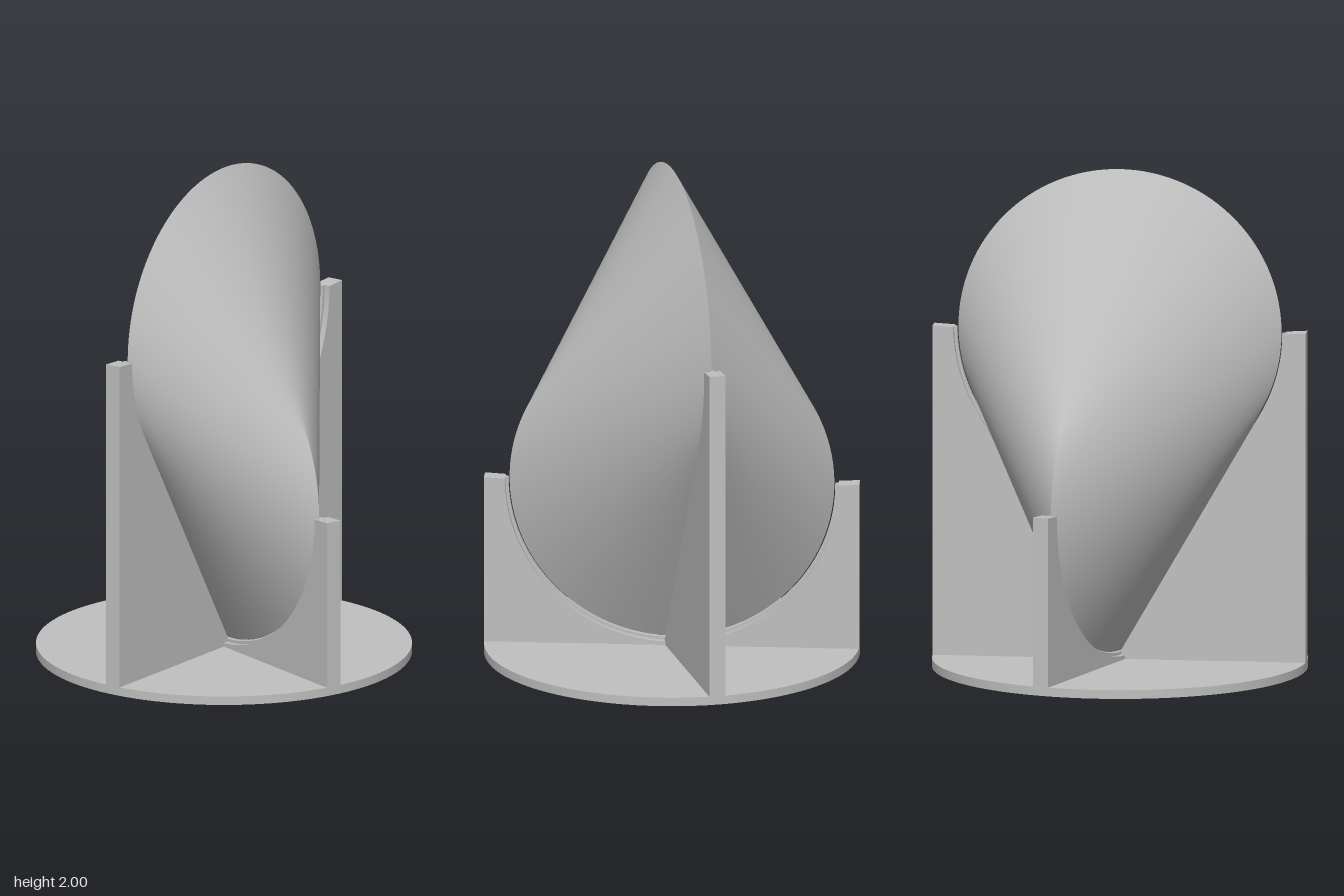
import * as THREE from 'three';

const R = 0.645;              // radius of both generating circles
const UPPER = 1.355;          // height of the upper circle's centre
const LOWER = UPPER - R;      // each circle passes through the other's centre
const BOTTOM = LOWER - R;
const TWIST = THREE.MathUtils.degToRad(72);
const BASE_R = 0.745, BASE_H = 0.035;

// Developable skin joining two circles in crossing planes, one strip per side
function skinStrip(side, segments = 128) {
  const pos = [], index = [];
  for (let i = 0; i <= segments; i++) {
    const t = (2 * Math.PI / 3) * Math.sin((i / segments - 0.5) * Math.PI);
    // matching tangents meet on the shared vertical axis
    const cu = THREE.MathUtils.clamp(Math.cos(t) / (1 + Math.cos(t)), -1, 1);
    const reach = side * R * Math.sqrt(1 - cu * cu);
    pos.push(R * Math.sin(t), UPPER + R * Math.cos(t), 0);
    pos.push(-reach * Math.cos(TWIST), LOWER + R * cu, reach * Math.sin(TWIST));
    if (i < segments) {
      const a = 2 * i, b = a + 1, c = a + 2, d = a + 3;
      if (side > 0) index.push(a, b, c, b, d, c);
      else index.push(a, c, b, b, c, d);
    }
  }
  const g = new THREE.BufferGeometry();
  g.setAttribute('position', new THREE.Float32BufferAttribute(pos, 3));
  g.setIndex(index);
  g.computeVertexNormals();
  return g;
}

// Points on an arc, angles in degrees clockwise from straight up
function arc(cy, radius, from, to, steps) {
  return Array.from({ length: steps + 1 }, (_, i) => {
    const t = THREE.MathUtils.degToRad(from + (to - from) * i / steps);
    return new THREE.Vector2(radius * Math.sin(t), cy + radius * Math.cos(t));
  });
}

// Upright plate with its cradle cut out of the top
function plateGeometry(top, groove, thickness) {
  const shape = new THREE.Shape([
    new THREE.Vector2(-BASE_R, BASE_H - 0.01),
    new THREE.Vector2(BASE_R, BASE_H - 0.01),
    new THREE.Vector2(BASE_R, top),
    ...groove,
    new THREE.Vector2(-BASE_R, top),
  ]);
  return new THREE.ExtrudeGeometry(shape, { depth: thickness, bevelEnabled: false });
}

export function createModel() {
  const model = new THREE.Group();
  const grey = new THREE.MeshStandardMaterial({ color: 0xc0c0c0 });
  grey.name = 'light grey';

  function add(parent, name, geometry) {
    const mesh = new THREE.Mesh(geometry, grey);
    mesh.name = name;
    parent.add(mesh);
    return mesh;
  }

  // Round base
  const base = add(model, 'base', new THREE.CylinderGeometry(BASE_R, BASE_R, BASE_H, 128));
  base.position.y = BASE_H / 2;

  // Rolling body
  const body = new THREE.Group();
  body.name = 'body';
  add(body, 'frontSkin', skinStrip(1));
  add(body, 'backSkin', skinStrip(-1));
  model.add(body);

  // Crossed cradle plates: a snug core between two looser cheeks
  const tallGroove = (gap) => [
    ...arc(UPPER, R + gap, 90, 120, 16),
    ...arc(BOTTOM, gap, 120, 240, 8),
    ...arc(UPPER, R + gap, 240, 270, 16),
  ];
  const lowGroove = (gap) => arc(LOWER, R + gap, 90, 270, 72);
  const layers = [
    ['backCheek', -0.033, 0.023, 0.016],
    ['core', -0.01, 0.02, 0.004],
    ['frontCheek', 0.01, 0.023, 0.016],
  ];
  for (const [name, top, groove, angle] of [
    ['tallPlate', UPPER + 0.005, tallGroove, 0],
    ['lowPlate', LOWER + 0.005, lowGroove, TWIST],
  ]) {
    const plate = new THREE.Group();
    plate.name = name;
    plate.rotation.y = angle;
    for (const [layer, z, thickness, gap] of layers) {
      add(plate, layer, plateGeometry(top, groove(gap), thickness)).position.z = z;
    }
    model.add(plate);
  }
  return model;
}
